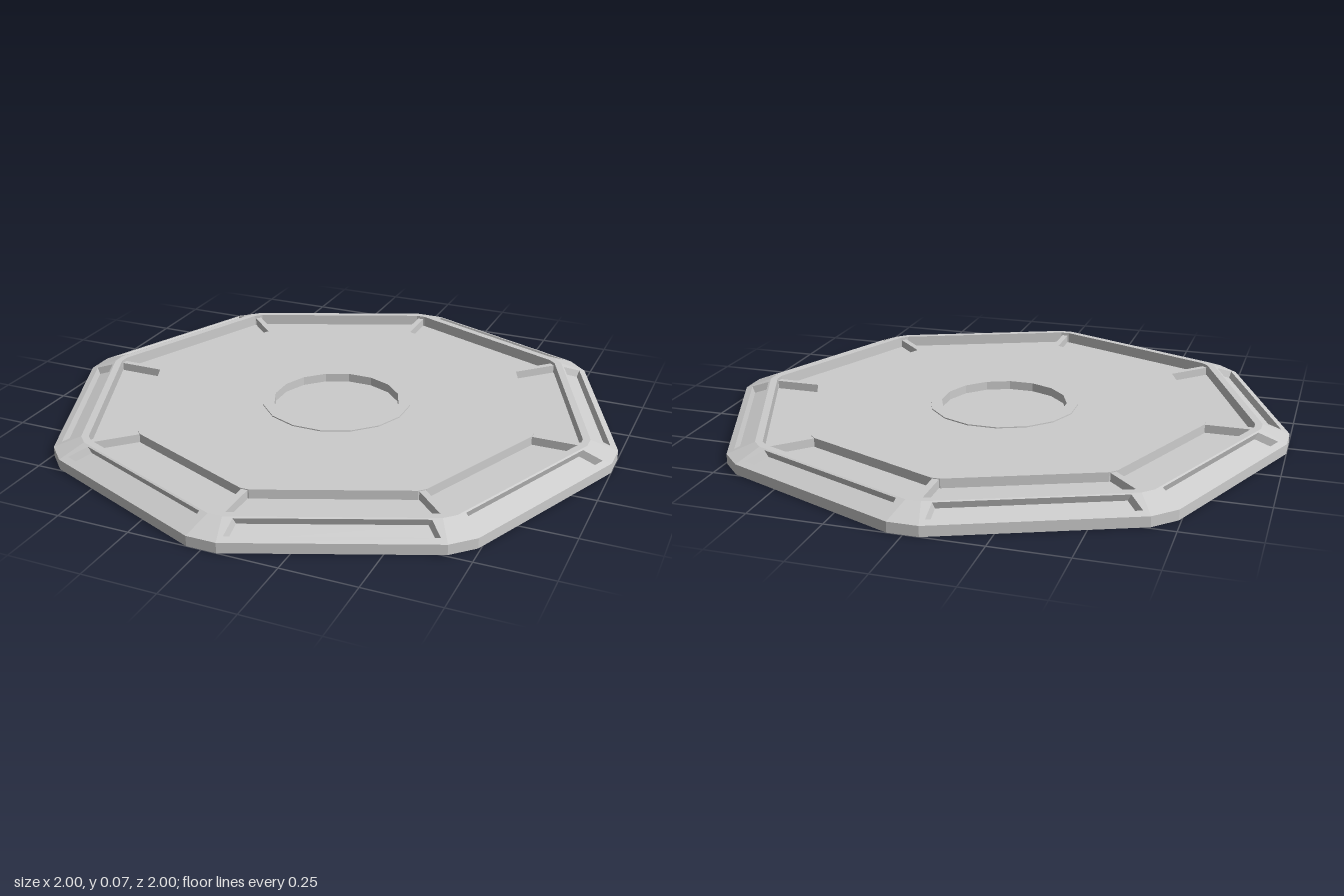
import * as THREE from 'three';

const material = new THREE.MeshStandardMaterial({ color: 0xcccccc, flatShading: true });
const S = Math.sin(Math.PI / 8), C = Math.cos(Math.PI / 8);

// Octagon with cut corners: `corner` is the reach along the axes, `side` the reach to the long edges.
// Even points start a corner cut, odd points start a long edge.
function ring(corner, side, y) {
  const t = (side - corner * C) / S;
  const points = [];
  for (let i = 0; i < 8; i++) {
    const a = (i * Math.PI) / 4;
    for (const s of [-t, t]) {
      points.push(new THREE.Vector3(
        corner * Math.sin(a) + s * Math.cos(a), y, corner * Math.cos(a) - s * Math.sin(a)));
    }
  }
  return points;
}

function quad(out, a, b, c, d) {
  for (const p of [a, b, c, a, c, d]) out.push(p.x, p.y, p.z);
}

// Joins two rings; `face` may replace the plain quad on chosen sides.
function band(out, lower, upper, face = quad) {
  for (let i = 0; i < 16; i++) {
    const j = (i + 1) % 16;
    (i % 2 ? face : quad)(out, lower[i], lower[j], upper[j], upper[i]);
  }
}

// A sloping panel with a recessed slot sunk along its normal.
function slottedPanel(out, a, b, c, d) {
  const corners = [a, b, c, d];
  const at = (u, v) => a.clone().lerp(b, u).lerp(d.clone().lerp(c, u), v);
  const normal = b.clone().sub(a).cross(d.clone().sub(a)).normalize();
  const slot = [at(0.025, 0.25), at(0.975, 0.25), at(0.95, 0.93), at(0.05, 0.93)];
  const floor = slot.map((p) => p.clone().addScaledVector(normal, -0.024));
  // Slight draft on the slot walls
  const middle = floor.reduce((m, p) => m.addScaledVector(p, 0.25), new THREE.Vector3());
  floor.forEach((p) => p.lerp(middle, 0.03));
  for (let i = 0; i < 4; i++) {
    const j = (i + 1) % 4;
    quad(out, corners[i], corners[j], slot[j], slot[i]);
    quad(out, slot[i], slot[j], floor[j], floor[i]);
  }
  quad(out, ...floor);
}

function loft(name, profile, slottedBand = -1) {
  const out = [];
  const rings = profile.map((p) => ring(...p));
  for (let i = 0; i < rings.length - 1; i++) {
    band(out, rings[i], rings[i + 1], i === slottedBand ? slottedPanel : quad);
  }
  const geometry = new THREE.BufferGeometry();
  geometry.setAttribute('position', new THREE.Float32BufferAttribute(out, 3));
  geometry.computeVertexNormals();
  const mesh = new THREE.Mesh(geometry, material);
  mesh.name = name;
  return mesh;
}

export function createModel() {
  const model = new THREE.Group();
  model.name = 'octagonalPlatform';

  // Base, bevelled rim with slots, and the sunken channel floor
  model.add(loft('baseAndRim', [
    [0, 0, 0], [1, 0.943, 0], [1, 0.943, 0.035], [0.91, 0.85, 0.07],
    [0.886, 0.825, 0.07], [0.886, 0.825, 0.03], [0.7, 0.652, 0.03],
  ], 2));

  // Raised deck with a low collar around the central recess
  model.add(loft('deck', [
    [0.72, 0.671, 0.03], [0.72, 0.671, 0.062], [0.26, 0.26, 0.062], [0.26, 0.26, 0.066],
    [0.22, 0.22, 0.066], [0.22, 0.22, 0.035], [0, 0, 0.035],
  ]));

  // Ribs crossing the channel at each corner
  const ribs = new THREE.Group();
  ribs.name = 'ribs';
  for (let i = 0; i < 8; i++) {
    const geometry = new THREE.BoxGeometry(0.022, 0.03, 0.18);
    geometry.translate(0, 0.044, 0.8);
    const rib = new THREE.Mesh(geometry, material);
    rib.name = 'rib';
    rib.rotation.y = (i * Math.PI) / 4;
    ribs.add(rib);
  }
  model.add(ribs);
  return model;
}
